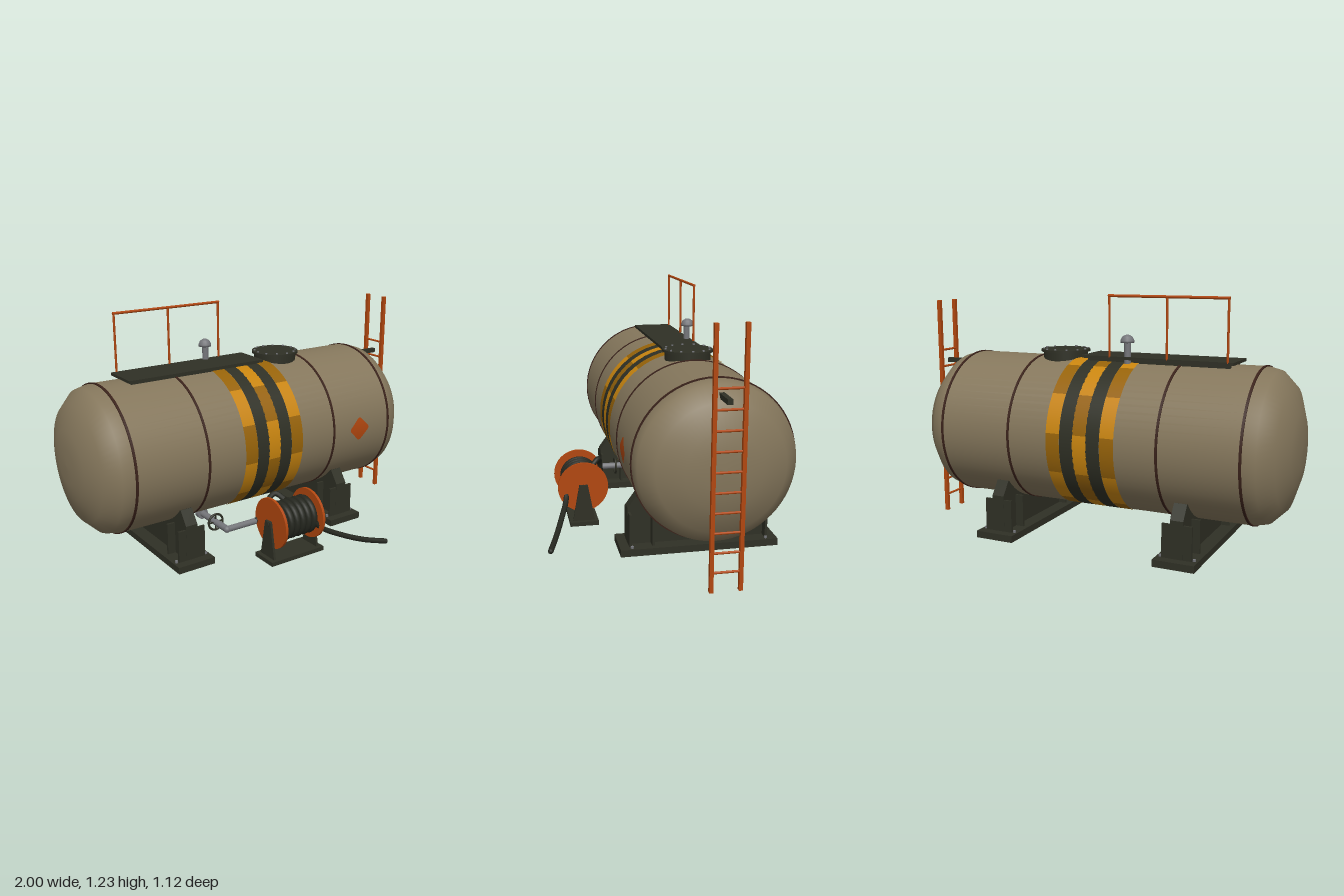
import * as THREE from 'three';

const mat = (name, color, side = THREE.FrontSide) => {
  const m = new THREE.MeshStandardMaterial({ color, side });
  m.name = name;
  return m;
};

export function createModel() {
  const M = {
    tan: mat('tan paint', 0x85775c),
    dark: mat('dark olive', 0x2f3025),
    seam: mat('brown seam', 0x3a221a),
    yellow: mat('yellow paint', 0xc9850f),
    mustard: mat('worn yellow', 0x976309),
    orange: mat('rust orange', 0xb2470f, THREE.DoubleSide),
    grey: mat('grey metal', 0x75767a),
    rubber: mat('black rubber', 0x25271f),
  };
  const root = new THREE.Group();
  root.name = 'storageTank';
  const CY = 0.53, CZ = -0.172, R = 0.378;

  const add = (name, geo, m, x = 0, y = 0, z = 0, parent = root) => {
    const mesh = new THREE.Mesh(geo, m);
    mesh.name = name;
    mesh.position.set(x, y, z);
    parent.add(mesh);
    return mesh;
  };
  const group = (name, x = 0) => {
    const g = new THREE.Group();
    g.name = name;
    g.position.x = x;
    root.add(g);
    return g;
  };
  const box = (w, h, d) => new THREE.BoxGeometry(w, h, d);
  const cyl = (r, h, n = 16) => new THREE.CylinderGeometry(r, r, h, n);
  const cylX = (r, h, n = 32) => cyl(r, h, n).rotateZ(-Math.PI / 2);
  const tube = (pts, r, n = 24) => new THREE.TubeGeometry(
    new THREE.CatmullRomCurve3(pts.map(p => new THREE.Vector3(...p))), n, r, 10);
  // Plate outlined in (z, y) and centred on x = 0
  const sidePlate = (pts, thick) => new THREE.ExtrudeGeometry(
    new THREE.Shape(pts.map(([z, y]) => new THREE.Vector2(-z, y))),
    { depth: thick, bevelEnabled: false }).translate(0, 0, -thick / 2).rotateY(Math.PI / 2);

  // Tank shell with domed ends
  const dome = [[0.19, 0], [0.188, 0.09], [0.175, 0.175], [0.134, 0.295], [0.065, 0.363], [0, R]];
  const profile = [
    ...dome.map(([d, r]) => new THREE.Vector2(r, -0.81 - d)),
    ...dome.slice().reverse().map(([d, r]) => new THREE.Vector2(r, 0.76 + d)),
  ];
  add('tankShell', new THREE.LatheGeometry(profile, 64).rotateZ(-Math.PI / 2), M.tan, 0, CY, CZ);

  // Weld seams
  for (const x of [-0.81, -0.417, 0.37, 0.762]) add('weldSeam', cylX(R + 0.004, 0.012, 64), M.seam, x, CY, CZ);

  // Painted stripes, the yellow ones in alternating worn patches
  const stripe = (x, w, start, len, m) => add('paintedStripe',
    new THREE.CylinderGeometry(R + 0.003, R + 0.003, w, Math.ceil(len * 10), 1, true, start, len)
      .rotateZ(-Math.PI / 2), m, x, CY, CZ);
  for (const x of [-0.095, 0.045]) stripe(x, 0.072, 0, Math.PI * 2, M.dark);
  [-0.168, -0.025, 0.118].forEach((x, i) => {
    const step = Math.PI / 6;
    for (let k = 0; k < 12; k++) stripe(x, 0.073, (k + 0.25) * step, step, (k + i) % 2 ? M.mustard : M.yellow);
  });

  // Diamond warning plate curved onto the shell
  const sign = new THREE.PlaneGeometry(0.1, 0.1, 8, 8).rotateZ(Math.PI / 4);
  const p = sign.attributes.position;
  for (let i = 0; i < p.count; i++) {
    const x = THREE.MathUtils.clamp(p.getX(i), -0.064, 0.064);
    const y = THREE.MathUtils.clamp(p.getY(i), -0.064, 0.064);
    p.setXYZ(i, x, y, Math.sqrt((R + 0.004) ** 2 - y * y));
  }
  sign.computeVertexNormals();
  add('warningDiamond', sign, M.orange, 0.55, CY + 0.003, CZ);

  // Support saddles
  for (const x of [-0.51, 0.457]) {
    const g = group('saddle', x);
    add('basePlate', box(0.207, 0.035, 0.785), M.dark, 0, 0.0175, CZ, g);
    add('web', sidePlate([[0.175, 0.03], [0.175, 0.22], [0.125, 0.29], [CZ, 0.2],
      [-0.469, 0.29], [-0.519, 0.22], [-0.519, 0.03]], 0.065), M.dark, 0, 0, 0, g);
    for (const s of [-1, 1]) {
      for (const d of [0.228, 0.34]) add('rib', box(0.15, 0.17, 0.012), M.dark, 0, 0.115, CZ + s * d, g);
      for (const bx of [-0.085, 0.085])
        add('anchorBolt', cyl(0.008, 0.012, 6), M.grey, bx, 0.039, CZ + s * 0.335, g);
    }
  }

  // Ladder at the +x end
  const ladder = group('ladder', 0.986);
  for (const z of [-0.106, -0.24]) add('ladderRail', box(0.02, 1.18, 0.018), M.orange, 0, 0.59, z, ladder);
  for (let i = 0; i < 10; i++)
    add('ladderRung', cyl(0.006, 0.13, 8).rotateX(Math.PI / 2), M.orange, 0, 0.09 + i * 0.091, -0.173, ladder);
  add('ladderBracket', box(0.13, 0.024, 0.024), M.dark, -0.065, 0.85, -0.173, ladder);

  // Hatch with bolted lid
  const hatch = group('hatch', 0.245);
  add('hatchNeck', cyl(0.114, 0.09, 32), M.dark, 0, 0.893, CZ, hatch);
  add('hatchLid', cyl(0.126, 0.012, 32), M.dark, 0, 0.939, CZ, hatch);
  for (let i = 0; i < 12; i++) {
    const a = i * Math.PI / 6;
    add('hatchBolt', cyl(0.006, 0.008, 6), M.grey, 0.112 * Math.cos(a), 0.947, CZ + 0.112 * Math.sin(a), hatch);
  }

  // Walkway and handrail
  add('walkway', box(0.785, 0.014, 0.208), M.dark, -0.297, 0.923, -0.178);
  for (const z of [-0.11, -0.25]) add('walkwaySupport', box(0.74, 0.035, 0.012), M.dark, -0.297, 0.9, z);
  for (const x of [-0.66, -0.358, -0.056]) add('handrailPost', cyl(0.006, 0.3, 8), M.orange, x, 1.075, -0.277);
  add('handrailTop', cylX(0.007, 0.616, 8), M.orange, -0.358, 1.225, -0.277);

  // Breather vent
  add('ventPipe', cyl(0.017, 0.14), M.grey, -0.147, 0.94, -0.262);
  add('ventCap', new THREE.LatheGeometry([[0, 0], [0.034, 0], [0.034, 0.01], [0.026, 0.028], [0.012, 0.037], [0, 0.039]]
    .map(q => new THREE.Vector2(...q)), 16), M.grey, -0.147, 1, -0.266);

  // Hose reel
  const reel = group('hoseReel', -0.027);
  const RY = 0.2, RZ = 0.344;
  add('reelBase', box(0.33, 0.022, 0.15), M.dark, 0, 0.011, RZ, reel);
  add('reelDrum', cylX(0.075, 0.23), M.rubber, 0, RY, RZ, reel);
  add('reelAxle', cylX(0.014, 0.29, 12), M.dark, 0, RY, RZ, reel);
  for (const s of [-1, 1]) {
    add('reelFlange', cylX(0.132, 0.014, 40), M.orange, s * 0.117, RY, RZ, reel);
    add('reelStand', sidePlate([[0.402, 0.02], [0.366, 0.215], [0.322, 0.215], [0.286, 0.02]], 0.012),
      M.dark, s * 0.136, 0, 0, reel);
  }
  for (let i = 0; i < 6; i++)
    add('hoseCoil', new THREE.TorusGeometry(0.085, 0.017, 10, 32).rotateY(Math.PI / 2),
      M.rubber, -0.09 + i * 0.036, RY, RZ, reel);
  const looseHose = [[0.06, 0.19, 0.43], [0.11, 0.14, 0.437], [0.23, 0.08, 0.475], [0.34, 0.04, 0.51], [0.455, 0.014, 0.547]];
  add('looseHose', tube(looseHose, 0.014), M.rubber);
  add('hoseNozzle', new THREE.SphereGeometry(0.014, 10, 8), M.rubber, ...looseHose[4]);

  // Outlet pipe, valve and feed hose
  const pipeZ = (r, l) => cyl(r, l).rotateX(Math.PI / 2);
  add('outletPipe', pipeZ(0.017, 0.3), M.grey, -0.33, 0.167, 0.068);
  add('outletFlange', pipeZ(0.03, 0.03), M.grey, -0.33, 0.167, -0.03);
  add('outletElbow', new THREE.SphereGeometry(0.018, 16, 12), M.grey, -0.33, 0.167, 0.218);
  add('outletRun', cylX(0.016, 0.175, 16), M.grey, -0.243, 0.167, 0.218);
  add('valveWheel', new THREE.TorusGeometry(0.042, 0.006, 8, 28), M.dark, -0.33, 0.167, 0.11);
  for (const a of [0, Math.PI / 2])
    add('valveSpoke', box(0.084, 0.007, 0.007).rotateZ(a), M.dark, -0.33, 0.167, 0.11);
  add('feedHose', tube([[-0.16, 0.167, 0.218], [-0.125, 0.19, 0.222], [-0.09, 0.27, 0.232],
    [-0.05, 0.305, 0.245], [-0.02, 0.28, 0.28]], 0.014), M.rubber);

  return root;
}
